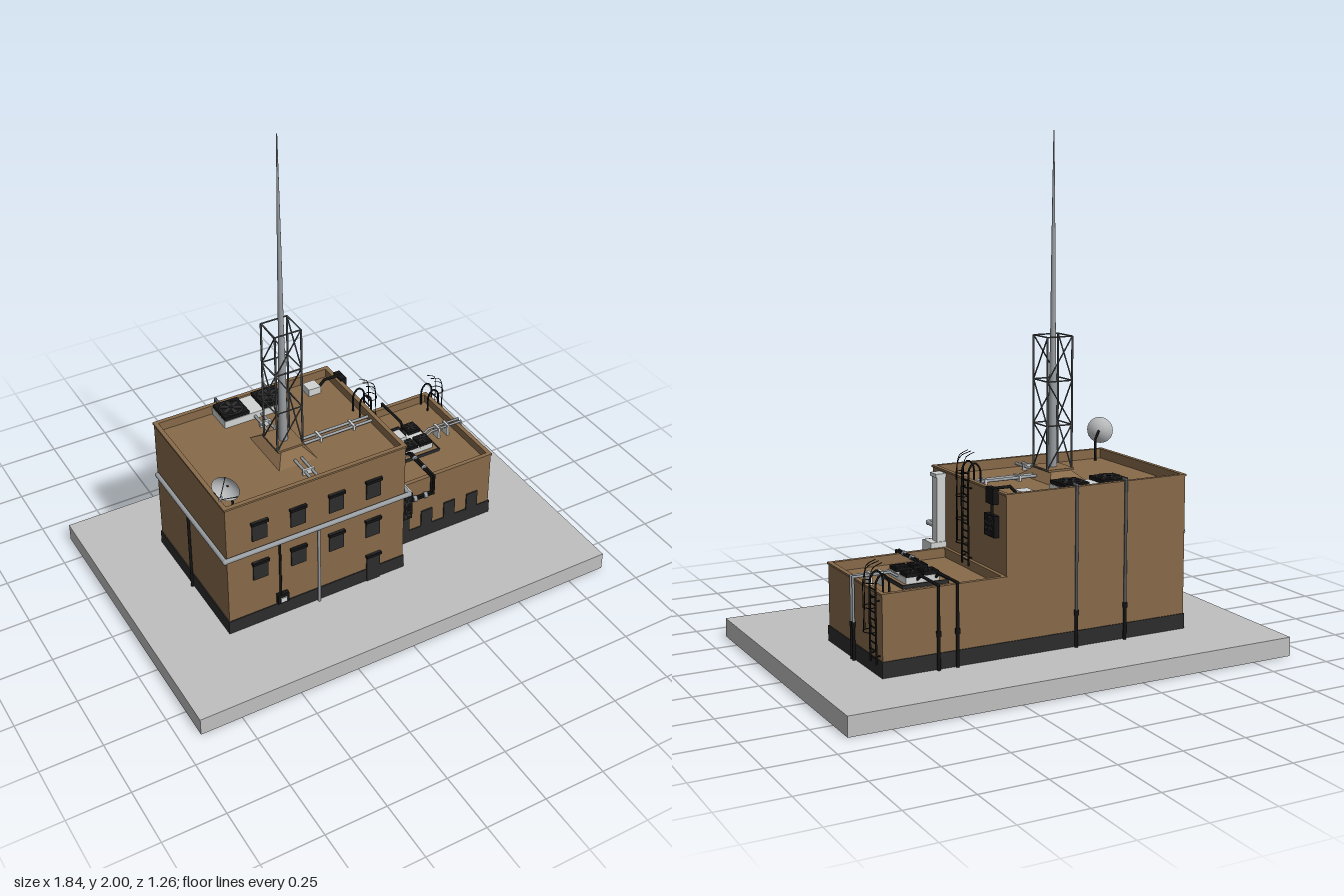
import * as THREE from 'three';

const mat = (name, color, side = THREE.FrontSide) => {
  const m = new THREE.MeshStandardMaterial({ color, side });
  m.name = name;
  return m;
};

export function createModel() {
  const concrete = mat('concrete', 0xbfbfbf), brown = mat('brown wall', 0x876a4a);
  const dark = mat('dark plinth', 0x2c2c2c), black = mat('black metal', 0x141414);
  const light = mat('light metal', 0xd2d4d4), steel = mat('steel pipe', 0x9a9fa3);
  const lattice = mat('lattice steel', 0x55585a), dishGrey = mat('dish grey', 0xc4c6c8, THREE.DoubleSide);

  const root = new THREE.Group();
  root.name = 'radioStation';
  let parent = root;
  const group = (name, build) => {
    const g = new THREE.Group(), old = parent;
    g.name = name;
    old.add(g);
    parent = g;
    build(g);
    parent = old;
    return g;
  };
  const add = (name, geo, m) => {
    const mesh = new THREE.Mesh(geo, m);
    mesh.name = name;
    parent.add(mesh);
    return mesh;
  };
  const V = (p) => new THREE.Vector3(...p);
  // Box given by its limits on each axis
  const box = (name, m, x0, x1, y0, y1, z0, z1) => {
    const b = add(name, new THREE.BoxGeometry(x1 - x0, y1 - y0, z1 - z0), m);
    b.position.set((x0 + x1) / 2, (y0 + y1) / 2, (z0 + z1) / 2);
    return b;
  };
  // Straight round bar between two points
  const rod = (name, m, a, b, r, sides = 8) => {
    const p = V(a), q = V(b), d = q.clone().sub(p);
    const c = add(name, new THREE.CylinderGeometry(r, r, d.length(), sides), m);
    c.position.copy(p).add(q).multiplyScalar(0.5);
    c.quaternion.setFromUnitVectors(new THREE.Vector3(0, 1, 0), d.normalize());
    return c;
  };
  // Pipe run with ball elbows
  const pipe = (name, m, pts, r) => group(name, () => {
    pts.forEach((p, i) => {
      if (i) rod('pipeSection', m, pts[i - 1], p, r);
      if (i && i < pts.length - 1) add('elbow', new THREE.SphereGeometry(r * 1.15, 8, 6), m).position.set(...p);
    });
  });
  const tube = (name, m, pts, r, n = 16) =>
    add(name, new THREE.TubeGeometry(new THREE.CatmullRomCurve3(pts.map(V)), n, r, 5), m);
  // Hollow rectangular rim, seen from above
  const rim = (name, m, x0, x1, z0, z1, t, y0, y1) => {
    const rect = (C, a, b, c, d) => {
      const s = new C();
      s.moveTo(a, c); s.lineTo(b, c); s.lineTo(b, d); s.lineTo(a, d); s.closePath();
      return s;
    };
    const s = rect(THREE.Shape, x0, x1, -z1, -z0);
    s.holes.push(rect(THREE.Path, x0 + t, x1 - t, -z1 + t, -z0 - t));
    const g = new THREE.ExtrudeGeometry(s, { depth: y1 - y0, bevelEnabled: false });
    add(name, g.rotateX(-Math.PI / 2).translate(0, y0, 0), m);
  };
  // Square fan facing local +z
  const fan = (x, y, z, size, rx = 0, ry = 0) => {
    const g = group('fan', () => {
      box('fanHousing', black, -size / 2, size / 2, -size / 2, size / 2, -0.02, 0);
      add('fanRing', new THREE.TorusGeometry(size * 0.42, size * 0.04, 6, 24), dark);
      for (let i = 0; i < 6; i++) {
        const b = add('fanBlade', new THREE.BoxGeometry(size * 0.13, size * 0.36, 0.003), dark);
        b.geometry.translate(0, size * 0.2, 0.002);
        b.rotation.z = i * Math.PI / 3;
      }
      add('fanHub', new THREE.CylinderGeometry(size * 0.09, size * 0.09, 0.01, 12).rotateX(Math.PI / 2), black);
    });
    g.position.set(x, y, z);
    g.rotation.set(rx, ry, 0);
  };

  // Slab and the two blocks
  box('baseSlab', concrete, -0.92, 0.915, 0, 0.075, -0.63, 0.63);
  const block = (name, x0, x1, z0, z1, roof, top) => group(name, () => {
    box('plinth', dark, x0 - 0.004, x1 + 0.004, 0.075, 0.135, z0 - 0.004, z1 + 0.004);
    box('walls', brown, x0, x1, 0.135, roof, z0, z1);
    rim('parapet', brown, x0, x1, z0, z1, 0.012, roof, top - 0.008);
    rim('coping', brown, x0 - 0.004, x1 + 0.004, z0 - 0.004, z1 + 0.004, 0.018, top - 0.008, top);
  });
  block('mainBlock', -0.622, 0.16, -0.337, 0.282, 0.65, 0.69);
  block('annexBlock', 0.16, 0.657, -0.337, 0.165, 0.345, 0.383);

  // Windows, door and annex openings
  const opening = (name, x, y0, y1, w, z, hood) => group(name, () => {
    box('pane', dark, x - w / 2, x + w / 2, y0, y1, z, z + 0.006);
    if (hood) box('hood', black, x - w / 2 - 0.004, x + w / 2 + 0.004, y1 - 0.012, y1, z, z + 0.014);
  });
  for (const x of [-0.483, -0.318, -0.15, 0.015]) {
    opening('upperWindow', x, 0.495, 0.585, 0.064, 0.282, true);
    opening('lowerWindow', x, 0.302, 0.39, 0.064, 0.282, true);
  }
  opening('door', 0.018, 0.075, 0.21, 0.06, 0.284, true);
  for (const x of [0.235, 0.347, 0.458, 0.57]) opening('annexWindow', x, 0.13, 0.213, 0.054, 0.165, false);

  // Roof pedestal, a four-sided frustum
  const ped = add('mastPedestal', new THREE.CylinderGeometry(0.5, 1, 1, 4, 1).rotateY(Math.PI / 4).toNonIndexed(), brown);
  ped.geometry.computeVertexNormals();
  ped.geometry.scale(0.165 / Math.SQRT2, 0.042, 0.245 / Math.SQRT2);
  ped.position.set(-0.233, 0.671, 0.013);
  box('pedestalCap', brown, -0.29, -0.176, 0.688, 0.696, -0.055, 0.08);

  // Lattice tower with a tapering mast
  group('latticeTower', () => {
    const cx = -0.233, cz = 0.015, h = 0.055, levels = [0.692, 0.866, 1.04, 1.213];
    const corners = [[-1, 1], [1, 1], [1, -1], [-1, -1]].map(([a, b]) => [cx + a * h, cz + b * h]);
    const at = (i, y) => [corners[i % 4][0], y, corners[i % 4][1]];
    for (let i = 0; i < 4; i++) {
      rod('towerLeg', lattice, at(i, levels[0]), at(i, levels[3]), 0.004, 6);
      levels.forEach((y, k) => {
        rod('towerTie', lattice, at(i, y), at(i + 1, y), 0.003, 6);
        if (!k) return;
        const [s, e] = k % 2 ? [i, i + 1] : [i + 1, i];
        rod('towerBrace', lattice, at(s, levels[k - 1]), at(e, y), 0.0028, 6);
      });
    }
    const profile = [[0, 0.69], [0.018, 0.69], [0.016, 0.95], [0.011, 1.22], [0.008, 1.55], [0.002, 2], [0, 2]];
    const mast = add('mast', new THREE.LatheGeometry(profile.map((p) => new THREE.Vector2(...p)), 16), steel);
    mast.position.set(cx, 0, cz);
  });

  // Satellite dish, facing the front left corner
  const dish = group('satelliteDish', () => {
    const pts = [0, 0.015, 0.03, 0.045, 0.055].map((r) => new THREE.Vector2(r, r * r * 7));
    add('dishBowl', new THREE.LatheGeometry(pts, 24).rotateX(Math.PI / 2), dishGrey);
    for (let i = 0; i < 3; i++) {
      const a = i * Math.PI * 2 / 3 + Math.PI / 2;
      rod('feedStrut', lattice, [0.054 * Math.cos(a), 0.054 * Math.sin(a), 0.02], [0, 0, 0.085], 0.0018, 5);
    }
    rod('feedHorn', steel, [0, 0, 0.07], [0, 0, 0.09], 0.006);
  });
  dish.position.set(-0.59, 0.77, 0.25);
  dish.rotation.y = -Math.PI / 4;
  pipe('dishPole', black, [[-0.565, 0.65, 0.235], [-0.565, 0.74, 0.235], [-0.59, 0.77, 0.25]], 0.005);

  // Roof fan units
  group('mainRoofUnit', () => {
    box('unitBody', light, -0.373, -0.09, 0.65, 0.682, -0.325, -0.21);
    for (const x of [-0.317, -0.147]) fan(x, 0.697, -0.267, 0.108, -Math.PI / 2);
  });
  group('annexRoofUnit', () => {
    box('unitPlatform', brown, 0.325, 0.51, 0.345, 0.356, -0.19, 0);
    rim('platformEdge', dark, 0.323, 0.512, -0.192, 0.002, 0.005, 0.345, 0.359);
    box('unitBody', light, 0.354, 0.49, 0.356, 0.38, -0.175, -0.02);
    for (const x of [0.386, 0.457]) for (const z of [-0.143, -0.05])
      fan(x, 0.394, z, 0.06, -Math.PI / 2);
  });

  // Pipes on the main roof
  for (const o of [-0.015, 0.015]) {
    pipe('roofPipeBack', steel, [[-0.225 + o, 0.664, -0.21], [-0.225 + o, 0.664, -0.1]], 0.006);
    pipe('roofPipeFront', steel, [[-0.225 + o, 0.664, 0.12], [-0.225 + o, 0.664, 0.272]], 0.006);
    pipe('roofPipeSide', steel, [[-0.16, 0.664, 0.03 + o], [0.15, 0.664, 0.03 + o]], 0.006);
  }
  for (const x of [-0.085, 0.065]) box('pipeClamp', light, x - 0.005, x + 0.005, 0.65, 0.673, 0.006, 0.054);
  for (const z of [-0.15, 0.2]) box('pipeClamp', light, -0.25, -0.2, 0.65, 0.673, z - 0.005, z + 0.005);

  // Pipe belt round the main block and its downpipes
  pipe('beltPipe', steel, [[0.174, 0.455, 0.22], [0.174, 0.455, 0.297], [-0.636, 0.455, 0.297], [-0.636, 0.455, -0.31]], 0.01);
  pipe('frontDownpipe', steel, [[-0.232, 0.455, 0.293], [-0.232, 0.075, 0.293]], 0.006);
  pipe('meterPipe', black, [[-0.402, 0.455, 0.291], [-0.402, 0.18, 0.291]], 0.005);
  box('meterBox', black, -0.418, -0.37, 0.143, 0.188, 0.282, 0.3);
  box('meterFace', light, -0.408, -0.38, 0.15, 0.172, 0.3, 0.304);
  pipe('leftDownpipe', black, [[-0.632, 0.455, -0.035], [-0.632, 0.075, -0.035]], 0.006);

  // Pipes down the back and right walls, each with a coupling
  const downpipe = (name, m, pts, r = 0.006) => {
    pipe(name, m, pts, r);
    const [x, , z] = pts[pts.length - 1];
    rod('coupling', black, [x, 0.2, z], [x, 0.22, z], r * 1.6);
    rod('lowerPipe', black, [x, 0.075, z], [x, 0.2, z], r * 1.15);
  };
  for (const x of [-0.345, -0.13])
    downpipe('mainBackPipe', lattice, [[x, 0.675, -0.32], [x, 0.697, -0.33], [x, 0.697, -0.35], [x, 0.075, -0.35]]);
  for (const x of [0.367, 0.443])
    downpipe('annexBackPipe', black, [[x, 0.368, -0.17], [x, 0.39, -0.2], [x, 0.39, -0.35], [x, 0.075, -0.35]]);
  for (const z of [-0.08, -0.1])
    downpipe('annexSidePipe', steel, [[0.49, 0.37, z], [0.52, 0.389, z], [0.668, 0.389, z], [0.668, 0.075, z]], 0.005);
  for (const x of [0.555, 0.6]) box('pipeClamp', light, x - 0.005, x + 0.005, 0.345, 0.398, -0.11, -0.07);

  // Air duct and cooling box in the corner between the blocks
  group('airDuct', () => {
    box('ductShaft', light, 0.16, 0.197, 0.4, 0.672, 0.17, 0.215);
    box('ductCap', light, 0.16, 0.202, 0.662, 0.677, 0.165, 0.22);
    box('coolingBox', light, 0.16, 0.226, 0.275, 0.405, 0.165, 0.238);
    for (const y of [0.372, 0.308]) fan(0.193, y, 0.246, 0.063);
    const s = new THREE.Shape([[0.238, 0.275], [0.165, 0.275], [0.165, 0.2]].map((p) => new THREE.Vector2(...p)));
    const g = new THREE.ExtrudeGeometry(s, { depth: 0.035, bevelEnabled: false });
    add('supportBracket', g.rotateY(-Math.PI / 2).translate(0.2, 0, 0), dark);
  });
  for (const [y, x] of [[0.3, 0.368], [0.312, 0.356]])
    pipe('coolingPipe', black, [[0.22, y, 0.18], [x, y, 0.18], [x, 0.39, 0.18], [x, 0.39, 0.01], [x, 0.368, -0.025]], 0.005);
  for (const x of [0.27, 0.32]) rod('coolingJoint', steel, [x, 0.306, 0.18], [x + 0.015, 0.306, 0.18], 0.013);
  for (const z of [0.04, 0.11]) rod('coolingJoint', steel, [0.362, 0.39, z], [0.362, 0.39, z + 0.012], 0.012);

  // Wall vent fed from a roof box
  fan(0.182, 0.557, -0.24, 0.082, 0, Math.PI / 2);
  box('roofBox', light, 0.02, 0.075, 0.65, 0.682, -0.29, -0.235);
  pipe('ventPipe', black, [[0.07, 0.668, -0.25], [0.1, 0.697, -0.25], [0.175, 0.697, -0.25], [0.175, 0.59, -0.25]], 0.006);
  box('ventPipeCover', black, 0.158, 0.184, 0.64, 0.7, -0.275, -0.215);

  // Caged ladders
  const ladder = (name, wall, z, foot, top, cageFoot) => group(name, () => {
    const x = wall + 0.014, w = 0.027;
    for (const s of [-1, 1]) {
      tube('ladderRail', black, [[x, foot, z + s * w], [x, top, z + s * w], [x - 0.004, top + 0.045, z + s * w],
        [x - 0.026, top + 0.066, z + s * w], [x - 0.048, top + 0.045, z + s * w], [x - 0.052, top - 0.035, z + s * w]], 0.004, 40);
      for (const y of [foot + 0.03, top - 0.03]) rod('wallBracket', black, [wall, y, z + s * w], [x, y, z + s * w], 0.003, 5);
    }
    for (let y = foot + 0.02; y < top + 0.03; y += 0.028)
      rod('rung', black, [x, y, z - w], [x, y, z + w], 0.003, 5);
    for (let y = cageFoot; y < top + 0.07; y += 0.09)
      tube('cageHoop', black, [[x, y, z - w], [x + 0.022, y, z - w], [x + 0.037, y, z], [x + 0.022, y, z + w], [x, y, z + w]], 0.0018);
    for (const [dx, dz] of [[0.02, -w], [0.037, 0], [0.02, w]])
      tube('cageBar', black, [[x - 0.025, top + 0.108, z + dz], [x + dx * 0.6, top + 0.09, z + dz],
        [x + dx, top + 0.04, z + dz], [x + dx, top - 0.03, z + dz], [x + dx, cageFoot, z + dz]], 0.0016, 20);
  });
  ladder('mainLadder', 0.16, -0.03, 0.36, 0.69, 0.45);
  ladder('annexLadder', 0.657, -0.287, 0.12, 0.383, 0.24);

  return root;
}
